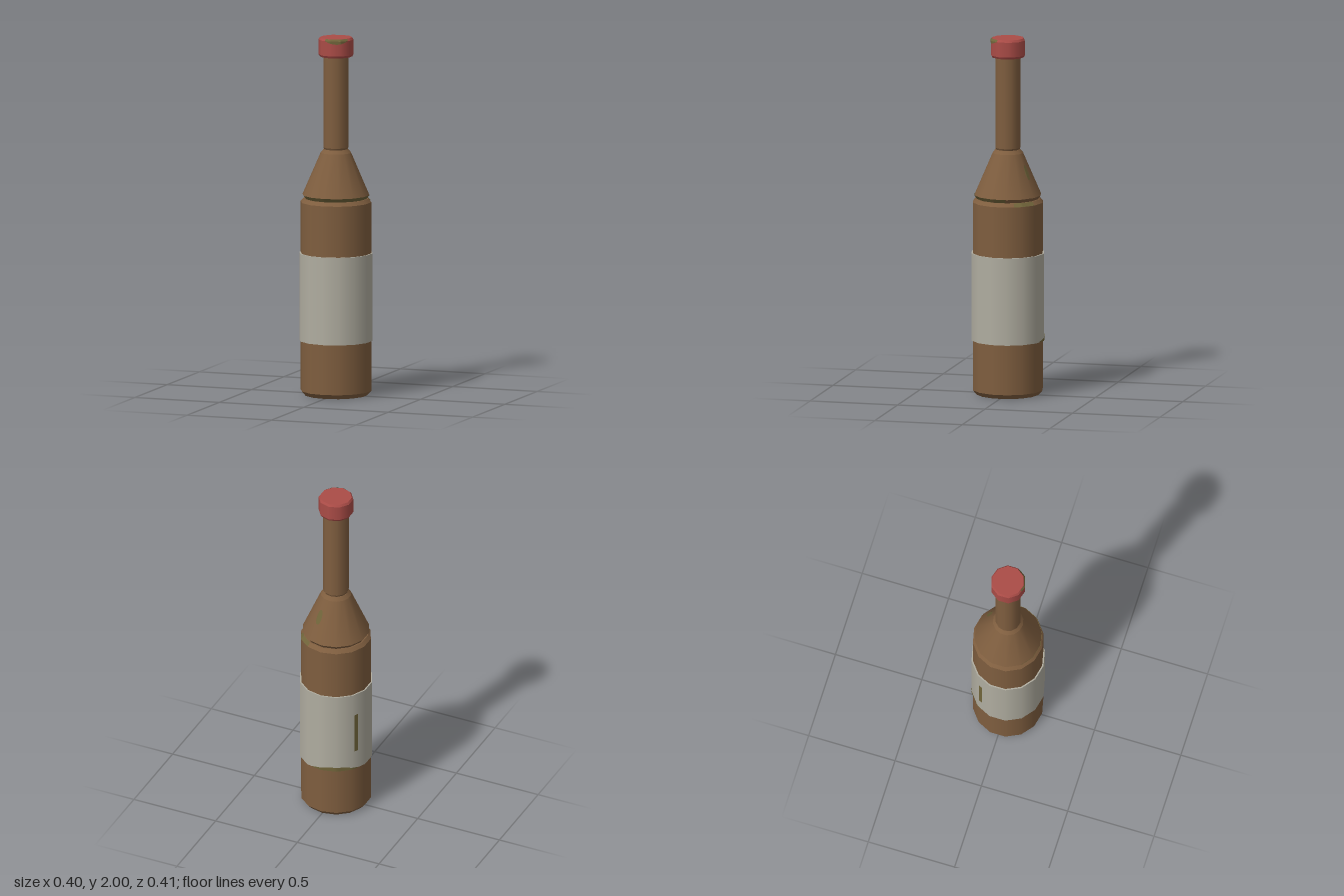
import * as THREE from 'three';
import { mergeGeometries } from 'three/addons/utils/BufferGeometryUtils.js';

const mat = (name, color, side = THREE.FrontSide) => {
  const m = new THREE.MeshStandardMaterial({ color, side });
  m.name = name;
  return m;
};

// Closed solid of stacked frustums: smooth around, crisp at every ring.
function turned(profile, sides) {
  const parts = [];
  for (let i = 0; i < profile.length - 1; i++) {
    const [r0, y0] = profile[i], [r1, y1] = profile[i + 1];
    const g = new THREE.CylinderGeometry(r1, r0, y1 - y0, sides, 1, true);
    g.translate(0, (y0 + y1) / 2, 0);
    parts.push(g);
  }
  const [rb, yb] = profile[0], [rt, yt] = profile[profile.length - 1];
  const bottom = new THREE.CircleGeometry(rb, sides, Math.PI / 2);
  bottom.rotateX(Math.PI / 2);
  bottom.translate(0, yb, 0);
  const top = new THREE.CircleGeometry(rt, sides, Math.PI / 2);
  top.rotateX(-Math.PI / 2);
  top.translate(0, yt, 0);
  return mergeGeometries([...parts, bottom, top]);
}

// Thin stain hugging a faceted frustum between two angles (degrees).
// shape(u) returns the lower and upper edge as fractions of the frustum height.
function stain(sides, [r0, y0], [r1, y1], a0, a1, shape) {
  const steps = 24, pos = [], index = [], face = (2 * Math.PI) / sides;
  for (let i = 0; i <= steps; i++) {
    const u = i / steps;
    const t = THREE.MathUtils.degToRad(a0 + (a1 - a0) * u);
    const local = THREE.MathUtils.euclideanModulo(t, face) - face / 2;
    const facet = Math.cos(face / 2) / Math.cos(local);
    for (const k of shape(u)) {
      const r = (r0 + (r1 - r0) * k) * facet + 0.002;
      pos.push(r * Math.sin(t), y0 + (y1 - y0) * k + 0.0005, r * Math.cos(t));
    }
    if (i < steps) {
      const a = i * 2;
      index.push(a, a + 2, a + 1, a + 1, a + 2, a + 3);
    }
  }
  const g = new THREE.BufferGeometry();
  g.setAttribute('position', new THREE.Float32BufferAttribute(pos, 3));
  g.setIndex(index);
  g.computeVertexNormals();
  return g;
}

export function createModel() {
  const bottle = new THREE.Group();
  bottle.name = 'bottle';
  const brown = mat('brown glass', 0x7f5e3f);
  const paper = mat('label paper', 0xb0ada0);
  const red = mat('red cap', 0xab4c47);
  const moss = mat('olive stain', 0x70643a, THREE.DoubleSide);

  const add = (name, geometry, material) => {
    const mesh = new THREE.Mesh(geometry, material);
    mesh.name = name;
    bottle.add(mesh);
  };

  // Glass
  add('body', turned([[0.175, 0], [0.197, 0.025], [0.197, 1.08], [0.18, 1.1]], 14), brown);
  add('shoulder', turned([[0.172, 1.09], [0.172, 1.1], [0.187, 1.12], [0.085, 1.355], [0.068, 1.375]], 14), brown);
  add('neck', turned([[0.064, 1.37], [0.071, 1.385], [0.071, 1.91]], 12), brown);

  // Label and cap
  add('label', turned([[0.205, 0.305], [0.205, 0.795]], 14), paper);
  add('cap', turned([[0.09, 1.893], [0.097, 1.905], [0.097, 1.988], [0.089, 2]], 10), red);

  // Stains
  const hump = (u) => [0, 0.1 + 0.9 * Math.sin(Math.PI * u)];
  const drip = (u) => [1 - 0.95 * Math.sin(Math.PI * u), 1];
  const oval = (u) => {
    const h = 0.5 * Math.sqrt(Math.max(0, 1 - (2 * u - 1) ** 2));
    return [0.5 - h, 0.5 + h];
  };
  const full = () => [0, 1];
  add('capStain', stain(10, [0.097, 1.97], [0.097, 1.988], -20, 65, drip), moss);
  add('capEdgeStain', stain(10, [0.097, 1.988], [0.089, 1.999], -20, 65, full), moss);
  add('shoulderStain', stain(14, [0.146, 1.215], [0.111, 1.295], 152, 167, oval), moss);
  add('shoulderRimStain', stain(14, [0.172, 1.1], [0.187, 1.12], -50, 100, full), moss);
  add('bodyRimStain', stain(14, [0.197, 1.08], [0.18, 1.1], 115, 153, full), moss);
  add('labelStreak', stain(14, [0.205, 0.42], [0.205, 0.66], 235, 242, full), moss);
  add('labelEdgeStain', stain(14, [0.205, 0.305], [0.205, 0.33], 164, 243, hump), moss);

  return bottle;
}
